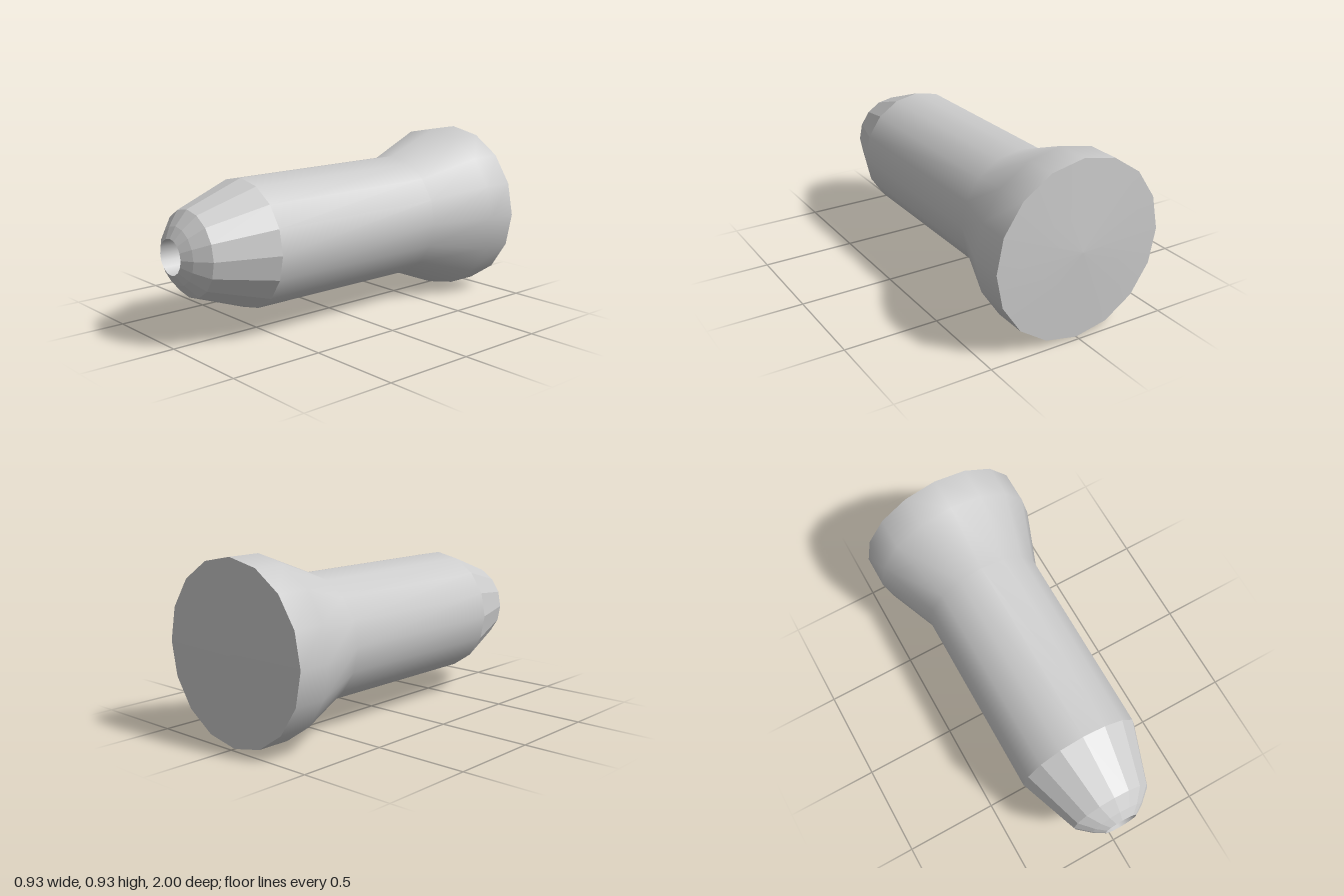
import * as THREE from 'three';

const SIDES = 16;
const AXIS_Y = 0.4625;

// Turned surface along z; profile holds [z, radius] pairs
function turned(name, profile, flatShading = false) {
  const points = profile.map(([z, r]) => new THREE.Vector2(r, z));
  const geometry = new THREE.LatheGeometry(points, SIDES);
  geometry.rotateX(Math.PI / 2);
  const material = new THREE.MeshStandardMaterial({ color: 0xcccccc, flatShading });
  const mesh = new THREE.Mesh(geometry, material);
  mesh.name = name;
  mesh.position.y = AXIS_Y;
  return mesh;
}

export function createModel() {
  const group = new THREE.Group();
  group.name = 'flaredNozzle';

  group.add(
    // Slightly domed rear cap
    turned('rearCap', [[-1, 0], [-0.978, 0.4625]]),
    // Smooth barrel with flared rear collar
    turned('flaredBody', [[-0.978, 0.4625], [-0.8, 0.4625], [-0.47, 0.335], [0.58, 0.335]]),
    // Faceted tapering nose
    turned('nose', [[0.58, 0.335], [0.9, 0.22], [0.965, 0.147], [1, 0.091]], true),
    // Bore in the tip: smooth wall and flat floor
    turned('boreWall', [[1, 0.091], [0.7, 0.091]]),
    turned('boreFloor', [[0.7, 0.091], [0.7, 0]]),
  );
  return group;
}
